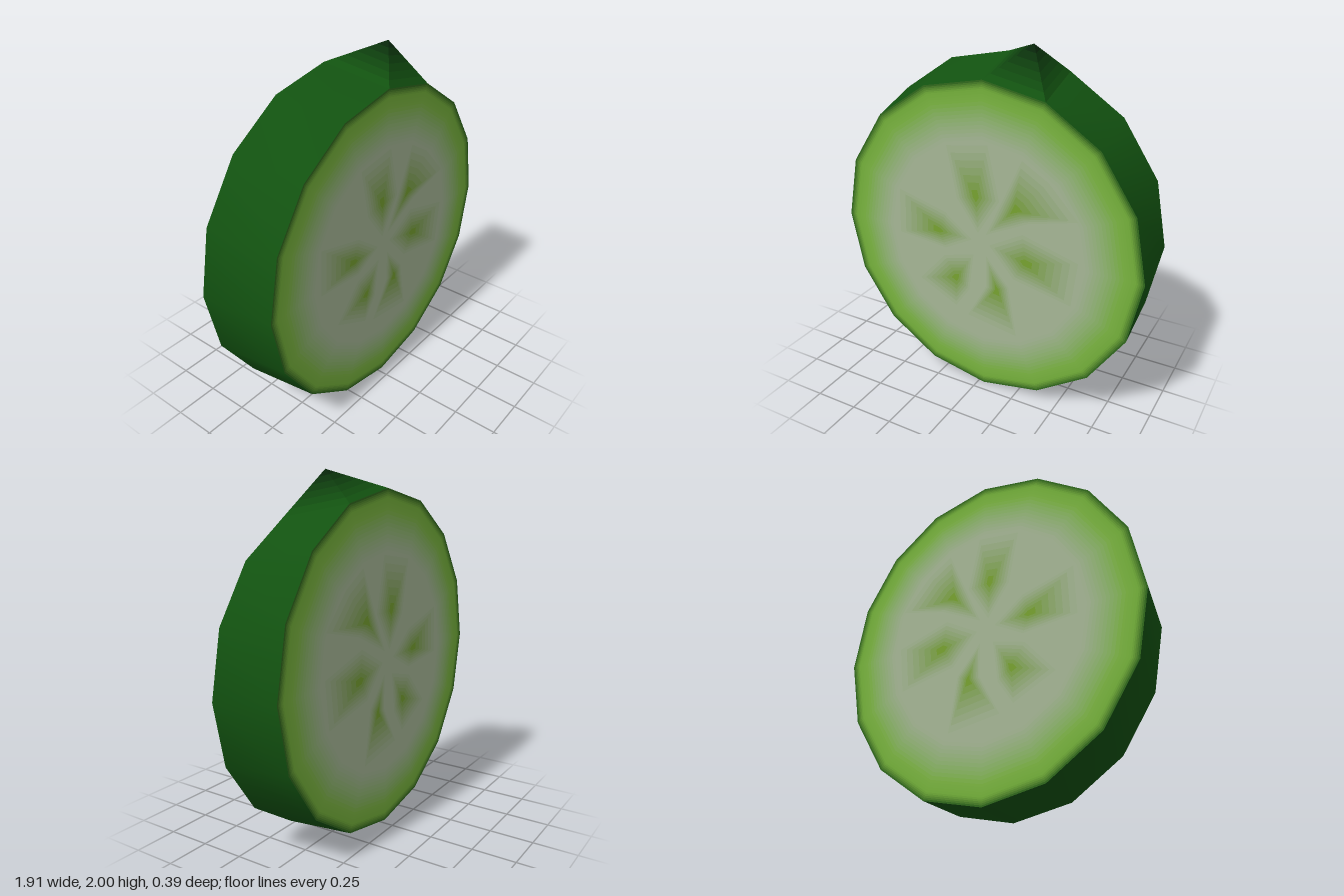
import * as THREE from 'three';

const SIDES = 16;
const FRONT = { x: 0.035, y: 0.917, z: 0.19, r: 0.915 };
const BACK = { x: -0.015, y: 0.96, z: -0.19, r: 0.945 };
const TIP = new THREE.Vector3(0.24, 2.0, 0.03);
const BUMP = 3; // skin panel that carries the raised tip

const FLESH = 0xa6b796, POCKET = 0x74a11f, SKIN = 0x125210, SKIN_DARK = 0x08260a;

// Flesh colour from rim to centre: [fraction of radius, colour]
const STOPS = [[1, 0x1f5c17], [0.95, 0x74b13a], [0.88, 0x7cb642], [0.66, FLESH], [0, FLESH]];

// Seed pockets: outline relative to the slice centre, and the darkest point
const POCKETS = [
  { core: [-0.04, 0.28], pts: [[-0.03, 0.07], [-0.16, 0.25], [-0.22, 0.54], [0.03, 0.58], [0.1, 0.28]] },
  { core: [0.19, 0.25], pts: [[0.02, 0.07], [0.23, 0.53], [0.38, 0.44], [0.55, 0.26], [0.27, 0.19]] },
  { core: [0.26, -0.04], pts: [[0.04, 0.01], [0.24, 0.12], [0.56, 0.03], [0.53, -0.23], [0.19, -0.16]] },
  { core: [0.09, -0.25], pts: [[0.02, -0.06], [0.16, -0.22], [0.21, -0.52], [-0.1, -0.47], [0.02, -0.25]] },
  { core: [-0.17, -0.24], pts: [[-0.06, -0.07], [-0.25, -0.12], [-0.42, -0.31], [-0.18, -0.43], [-0.09, -0.3]] },
  { core: [-0.28, 0.03], pts: [[-0.07, 0.02], [-0.24, -0.07], [-0.55, -0.04], [-0.54, 0.23], [-0.24, 0.15]] },
];

const mat = (color, side = THREE.FrontSide) => new THREE.MeshStandardMaterial({ color, side });
const mix = (a, b, t) => new THREE.Color(a).lerp(new THREE.Color(b), t);

function named(geometry, material, name) {
  const mesh = new THREE.Mesh(geometry, material);
  mesh.name = name;
  return mesh;
}

function rimPoint(c, i) {
  const a = (i / SIDES) * Math.PI * 2;
  return new THREE.Vector3(c.x + c.r * Math.cos(a), c.y + c.r * Math.sin(a), c.z);
}

function indexed(points, index) {
  const g = new THREE.BufferGeometry().setFromPoints(points);
  g.setIndex(index);
  g.computeVertexNormals();
  return g;
}

// Skin wall joining the two rims, open at the bump panel
function skin() {
  const points = [], index = [];
  for (let i = 0; i < SIDES; i++) points.push(rimPoint(FRONT, i), rimPoint(BACK, i));
  for (let i = 0; i < SIDES; i++) {
    if (i === BUMP) continue;
    const a = 2 * i, b = 2 * ((i + 1) % SIDES);
    index.push(a, a + 1, b, b, a + 1, b + 1);
  }
  return named(indexed(points, index), mat(SKIN), 'skin');
}

// Four-sided raised tip, darkening in bands toward its point
function tip() {
  const group = new THREE.Group();
  group.name = 'skinTip';
  const base = [rimPoint(FRONT, BUMP), rimPoint(BACK, BUMP), rimPoint(BACK, BUMP + 1), rimPoint(FRONT, BUMP + 1)];
  const bands = 6;
  for (let k = 0; k < bands; k++) {
    const points = [], index = [];
    for (let j = 0; j < 4; j++) {
      const p = base[j], q = base[(j + 1) % 4], n = points.length;
      for (const t of [k / bands, (k + 1) / bands]) {
        points.push(p.clone().lerp(TIP, t), q.clone().lerp(TIP, t));
      }
      index.push(n, n + 1, n + 2);
      if (k < bands - 1) index.push(n + 2, n + 1, n + 3);
    }
    group.add(named(indexed(points, index), mat(mix(SKIN, SKIN_DARK, k / (bands - 1))), 'tipBand'));
  }
  return group;
}

// Cut face: concentric flesh bands with the seed pockets on top
function cutFace(c, mirror, name) {
  const face = new THREE.Group();
  face.name = name;
  for (let s = 0; s < STOPS.length - 1; s++) {
    const [r0, c0] = STOPS[s], [r1, c1] = STOPS[s + 1];
    const steps = c0 === c1 ? 1 : s === 2 ? 10 : 5;
    for (let k = 0; k < steps; k++) {
      const outer = THREE.MathUtils.lerp(r0, r1, k / steps) * c.r;
      const inner = THREE.MathUtils.lerp(r0, r1, (k + 1) / steps) * c.r;
      const geo = inner > 0 ? new THREE.RingGeometry(inner, outer, SIDES) : new THREE.CircleGeometry(outer, SIDES);
      face.add(named(geo, mat(mix(c0, c1, (k + 0.5) / steps)), s === 0 ? 'rimBand' : 'fleshBand'));
    }
  }
  // Each pocket is a stack of shrinking outlines, strongest at its core
  const layers = 7, size = c.r / FRONT.r;
  for (const { core, pts } of POCKETS) {
    for (let k = 0; k < layers; k++) {
      const f = 1 - k / layers;
      const outline = pts.map(([x, y]) => new THREE.Vector2(
        mirror * size * (core[0] + (x - core[0]) * f),
        size * (core[1] + (y - core[1]) * f)));
      const layer = named(new THREE.ShapeGeometry(new THREE.Shape(outline)),
        mat(mix(FLESH, POCKET, (k + 0.6) / layers)), 'seedPocket');
      layer.position.z = 0.0006 * (k + 1);
      face.add(layer);
    }
  }
  face.position.set(c.x, c.y, c.z);
  if (mirror < 0) face.rotation.y = Math.PI;
  return face;
}

export function createModel() {
  const model = new THREE.Group();
  model.name = 'vegetableSlice';
  model.add(skin(), tip(), cutFace(FRONT, 1, 'frontFace'), cutFace(BACK, -1, 'backFace'));
  return model;
}
